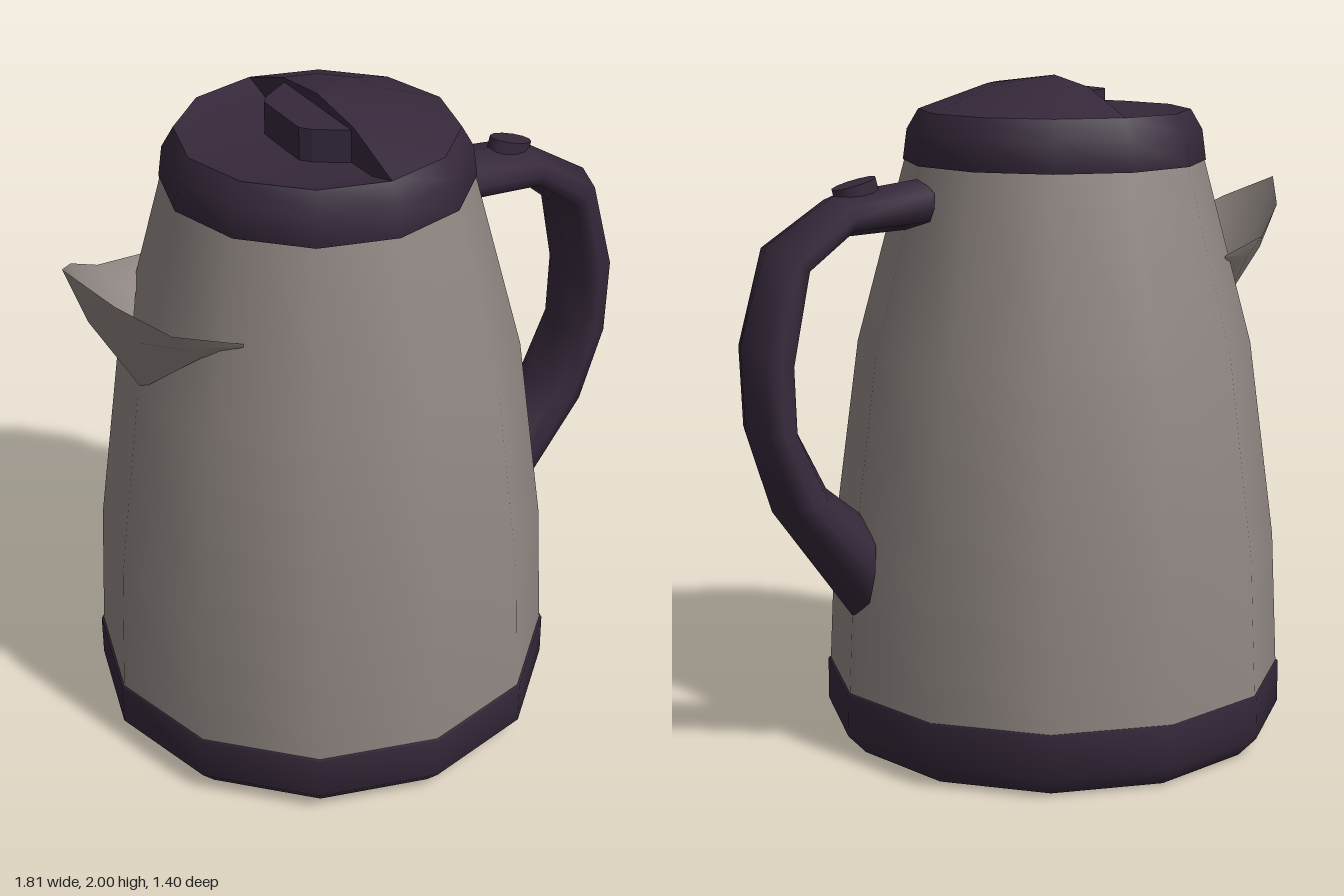
import * as THREE from 'three';

const steel = new THREE.MeshStandardMaterial({ color: 0x8f8682, side: THREE.DoubleSide });
steel.name = 'warm grey steel';
const plastic = new THREE.MeshStandardMaterial({ color: 0x35283a });
plastic.name = 'dark plum plastic';

const AXIS = -0.11; // x of the vessel's axis
const SIDES = 12;

// Skin a list of rings (each a list of [x, y, z]) with smooth normals
function loft(rings, closed) {
  const n = rings[0].length;
  const index = [];
  for (let i = 0; i < rings.length - 1; i++) {
    for (let j = 0; j < (closed ? n : n - 1); j++) {
      const k = (j + 1) % n;
      const a = i * n + j, b = i * n + k, c = (i + 1) * n + k, d = (i + 1) * n + j;
      index.push(a, b, d, b, c, d);
    }
  }
  const g = new THREE.BufferGeometry();
  g.setAttribute('position', new THREE.Float32BufferAttribute(rings.flat(2), 3));
  g.setIndex(index);
  g.computeVertexNormals();
  return g;
}

function turned(points, start = 0, length = Math.PI * 2) {
  const profile = points.map(([r, y]) => new THREE.Vector2(r, y));
  const segments = Math.round(SIDES * length / (Math.PI * 2));
  return new THREE.LatheGeometry(profile, segments, start, length).translate(AXIS, 0, 0);
}

export function createModel() {
  const model = new THREE.Group();
  model.name = 'kettle';
  const add = (name, geometry, material, parent = model) => {
    const mesh = new THREE.Mesh(geometry, material);
    mesh.name = name;
    parent.add(mesh);
    return mesh;
  };

  // Vessel and base
  add('body', turned([[0.695, 0.18], [0.675, 0.6], [0.595, 1.2], [0.445, 1.76]]), steel);
  add('baseUnderside', turned([[0, 0], [0.645, 0]]), plastic);
  add('base', turned([[0.645, 0], [0.702, 0.06], [0.702, 0.19], [0.69, 0.195]]), plastic);

  // Lid: full rim, raised half dome over the handle, shallow recess over the spout
  const lid = new THREE.Group();
  lid.name = 'lid';
  model.add(lid);
  add('lidRim', turned([[0.43, 1.75], [0.452, 1.75], [0.44, 1.84], [0.405, 1.9]]), plastic, lid);
  add('lidDome', turned([[0.405, 1.9], [0.2, 1.975], [0, 2]], 0, Math.PI), plastic, lid);
  add('lidRecess', turned([[0.405, 1.9], [0.3, 1.87], [0, 1.86]], Math.PI, Math.PI), plastic, lid);
  const wall = [[-0.405, 1.9], [-0.3, 1.87], [0, 1.86], [0.3, 1.87], [0.405, 1.9], [0.2, 1.975], [0, 2], [-0.2, 1.975]];
  add('lidDomeWall', new THREE.ShapeGeometry(new THREE.Shape(wall.map(p => new THREE.Vector2(...p))))
    .rotateY(-Math.PI / 2).translate(AXIS, 0, 0), plastic, lid);

  // Thumb tab in the recess
  const tab = [[-0.11, -0.19], [-0.11, 0.19], [-0.2, 0.13], [-0.225, 0.1], [-0.225, -0.1], [-0.2, -0.13]];
  add('lidTab', new THREE.ExtrudeGeometry(new THREE.Shape(tab.map(p => new THREE.Vector2(...p))),
    { depth: 0.1, bevelEnabled: false }).rotateX(-Math.PI / 2).translate(0, 1.863, 0), plastic, lid);

  // Spout: columns run from the body joint through the belly to the rim
  const half = [
    [[-0.69, 1.22, 0], [-0.84, 1.48, 0], [-0.905, 1.66, 0]],
    [[-0.67, 1.3, 0.1], [-0.77, 1.46, 0.13], [-0.82, 1.59, 0.145]],
    [[-0.6, 1.4, 0.21], [-0.66, 1.45, 0.225], [-0.7, 1.51, 0.24]],
    [[-0.52, 1.46, 0.31], [-0.52, 1.465, 0.31], [-0.52, 1.47, 0.31]],
  ];
  const mirrored = half.slice(1).reverse().map(col => col.map(([x, y, z]) => [x, y, -z]));
  add('spout', loft([...mirrored, ...half], false), steel);

  // Handle: outer and inner edge at each station, from top to bottom
  const stations = [
    [0.335, 1.715, 0.36, 1.57],
    [0.6, 1.685, 0.59, 1.56],
    [0.82, 1.55, 0.705, 1.465],
    [0.905, 1.27, 0.75, 1.2],
    [0.895, 1.02, 0.745, 1.02],
    [0.82, 0.78, 0.65, 0.83],
    [0.57, 0.43, 0.53, 0.73],
  ];
  const section = [[1, 0], [0.78, 0.1], [0.5, 0.115], [0.22, 0.1], [0, 0],
    [0.22, -0.1], [0.5, -0.115], [0.78, -0.1]];
  const rings = stations.map(([ox, oy, ix, iy]) =>
    section.map(([f, z]) => [ix + (ox - ix) * f, iy + (oy - iy) * f, z]));
  const centre = ([ox, oy, ix, iy]) => section.map(() => [(ox + ix) / 2, (oy + iy) / 2, 0]);
  const first = rings[0], last = rings[rings.length - 1];
  add('handle', loft([centre(stations[0]), first, ...rings, last, centre(stations[6])], true), plastic);

  // Release button on the handle
  const button = add('handleButton', new THREE.CylinderGeometry(1, 1, 1, 12), plastic);
  button.scale.set(0.07, 0.06, 0.045);
  button.rotation.z = -0.25;
  button.position.set(0.54, 1.683, 0);

  return model;
}
